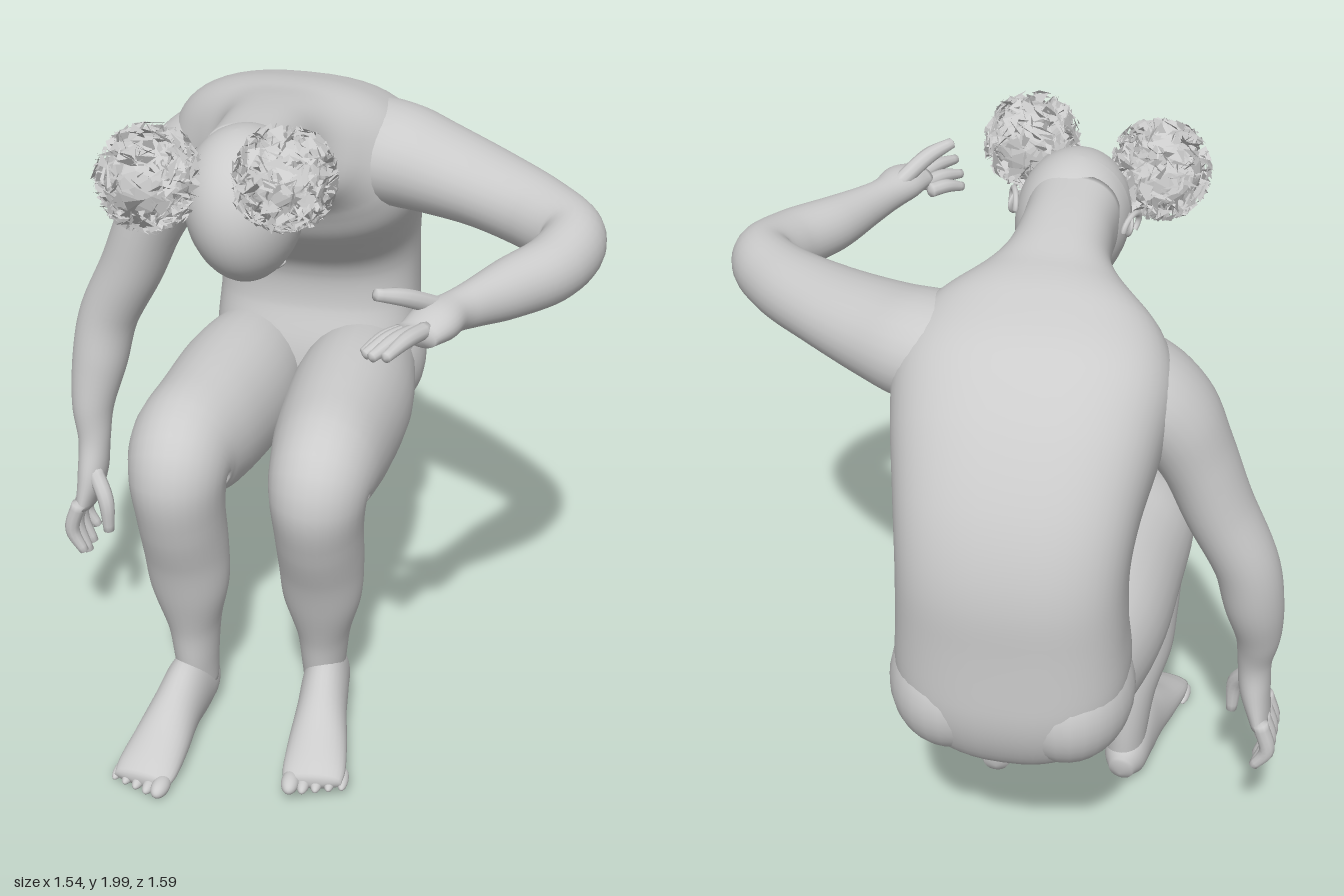
import * as THREE from 'three';

const V = (x, y, z) => new THREE.Vector3(x, y, z);
const skin = new THREE.MeshStandardMaterial({ color: 0xcccccc });
const hairMaterial = new THREE.MeshStandardMaterial({ color: 0xcccccc, flatShading: true, side: THREE.DoubleSide });

function seeded(seed) {
  return () => (seed = (seed * 16807) % 2147483647) / 2147483647;
}

function addMesh(parent, name, geometry, material = skin) {
  const mesh = new THREE.Mesh(geometry, material);
  mesh.name = name;
  parent.add(mesh);
  return mesh;
}

// Smooth closed skin over stations [x, y, z, a, b]: a runs along ref, b across it.
function loft(stations, ref, { sides = 28, steps = 6, power = 2 } = {}) {
  const path = new THREE.CatmullRomCurve3(stations.map(s => V(s[0], s[1], s[2])), false, 'catmullrom');
  const size = new THREE.CatmullRomCurve3(stations.map(s => V(s[3], s[4], 0)), false, 'catmullrom');
  const rows = (stations.length - 1) * steps;
  const pos = [], index = [];
  const bend = v => Math.sign(v) * Math.abs(v) ** (2 / power);
  for (let i = 0; i <= rows; i++) {
    const c = path.getPoint(i / rows), r = size.getPoint(i / rows), t = path.getTangent(i / rows);
    const side = ref.clone().addScaledVector(t, -ref.dot(t)).normalize();
    const up = t.clone().cross(side);
    for (let j = 0; j < sides; j++) {
      const q = (j / sides) * Math.PI * 2;
      const p = c.clone().addScaledVector(side, r.x * bend(Math.cos(q))).addScaledVector(up, r.y * bend(Math.sin(q)));
      pos.push(p.x, p.y, p.z);
      if (i < rows) {
        const k = i * sides + j, n = i * sides + (j + 1) % sides;
        index.push(k, n, n + sides, k, n + sides, k + sides);
      }
    }
  }
  // Domed ends
  const first = pos.length / 3, last = rows * sides;
  [[0, -1], [1, 1]].forEach(([t, dir]) => {
    const r = size.getPoint(t);
    const p = path.getPoint(t).addScaledVector(path.getTangent(t), dir * 0.4 * Math.min(r.x, r.y));
    pos.push(p.x, p.y, p.z);
  });
  for (let j = 0; j < sides; j++) {
    const n = (j + 1) % sides;
    index.push(n, j, first, last + j, last + n, first + 1);
  }
  const g = new THREE.BufferGeometry();
  g.setAttribute('position', new THREE.Float32BufferAttribute(pos, 3));
  g.setIndex(index);
  g.computeVertexNormals();
  return g;
}

function addBlob(parent, name, at, scale, rotation = [0, 0, 0]) {
  const m = addMesh(parent, name, new THREE.SphereGeometry(1, 28, 20));
  m.position.set(...at);
  m.scale.set(...scale);
  m.rotation.set(...rotation);
}

function addFinger(parent, name, points, r) {
  const radii = [1.1, 1.05, 0.7];
  addMesh(parent, name, loft(points.map((p, i) => [...p, r * radii[i], r * radii[i]]), V(0.6, 0.3, 0.7), { sides: 10, steps: 5 }));
}

// Buttock, thigh, knee, shin and foot of one leg
function addLeg(root, name, { hip, knee, ankle, toe, dz, base }) {
  const leg = new THREE.Group();
  leg.name = name;
  root.add(leg);
  addBlob(leg, name + 'Buttock', [hip * 0.97, 0.875, -0.575], [0.165, 0.19, 0.2]);
  const thigh = [[-0.6, 0.87, 0.13, 0.16], [-0.32, 0.875, 0.172, 0.198], [-0.06, 0.885, 0.165, 0.19], [0.09, 0.895, 0.15, 0.168]];
  const shin = [[0.165, 0.86, 0.135, 0.15], [0.15, 0.74, 0.122, 0.135], [0.105, 0.6, 0.118, 0.122], [0.075, 0.47, 0.11, 0.107],
    [0.04, 0.33, 0.076, 0.094], [0.022, 0.21, 0.062, 0.088], [0.005, 0.11, 0.055, 0.075]];
  const stations = [
    ...thigh.map(([z, y, a, b], i) => [hip + (knee - hip) * i / 3, y, z, a, b]),
    ...shin.map(([z, y, a, b], i) => [knee + (ankle - knee) * i / 6, y, z + dz * i / 6, a, b]),
  ];
  addMesh(leg, name + 'Limb', loft(stations, V(1, 0, 0)));

  // Foot with a flattened sole
  const foot = [[-0.07, 0.07, 0.035, 0.045], [-0.025, 0.085, 0.06, 0.085], [0.06, 0.1, 0.066, 0.115],
    [0.16, 0.085, 0.07, 0.095], [0.27, 0.055, 0.082, 0.065], [0.36, 0.035, 0.087, 0.042], [0.41, 0.026, 0.08, 0.024]];
  const atX = z => ankle + (toe - ankle) * (z + 0.07) / 0.5;
  const g = loft(foot.map(([z, y, a, b]) => [atX(z), base + y, z + dz, a, b]), V(1, 0, 0));
  const p = g.attributes.position;
  for (let i = 0; i < p.count; i++) p.setY(i, Math.max(base, p.getY(i)));
  g.computeVertexNormals();
  addMesh(leg, name + 'Foot', g);
  const inward = -Math.sign(toe - ankle);
  for (let i = 0; i < 5; i++) {
    const r = i ? 0.019 - i * 0.001 : 0.025;
    addBlob(leg, name + 'Toe', [toe + inward * (0.062 - i * 0.034), base + r, 0.42 - i * 0.014 + dz], [r, r, 0.045], [0, (toe - ankle) * 1.5, 0]);
  }
}

// Ball of crumpled, shard-like curls
function addPuff(root, name, center, radius, seed) {
  const rand = seeded(seed);
  const puff = new THREE.Group();
  puff.name = name;
  puff.position.set(...center);
  root.add(puff);
  const dir = () => V(rand() - 0.5, rand() - 0.5, rand() - 0.5).normalize();
  addMesh(puff, name + 'Core', new THREE.IcosahedronGeometry(radius * 0.8, 2), hairMaterial);
  const pos = [];
  for (let i = 0; i < 650; i++) {
    const c = dir().multiplyScalar(radius * (0.78 + 0.16 * rand()));
    for (let k = 0; k < 3; k++) {
      const p = c.clone().addScaledVector(dir(), radius * 0.27);
      p.clampLength(0, radius * (0.95 + 0.07 * rand()));
      pos.push(p.x, p.y, p.z);
    }
  }
  const g = new THREE.BufferGeometry();
  g.setAttribute('position', new THREE.Float32BufferAttribute(pos, 3));
  g.computeVertexNormals();
  addMesh(puff, name + 'Curls', g, hairMaterial);
}

export function createModel() {
  const root = new THREE.Group();
  root.name = 'seatedFigure';
  const mid = -0.115;

  // Torso curling forward from pelvis to neck
  const spine = [[0.72, -0.49, 0.1, 0.1], [0.77, -0.52, 0.21, 0.18], [0.85, -0.555, 0.275, 0.215], [0.95, -0.57, 0.295, 0.22],
    [1.1, -0.59, 0.287, 0.2], [1.25, -0.585, 0.285, 0.205], [1.38, -0.535, 0.3, 0.215], [1.5, -0.435, 0.328, 0.232],
    [1.6, -0.32, 0.345, 0.23], [1.67, -0.22, 0.31, 0.19], [1.715, -0.12, 0.215, 0.155], [1.75, -0.03, 0.14, 0.13],
    [1.77, 0.08, 0.12, 0.122], [1.775, 0.2, 0.12, 0.125]];
  addMesh(root, 'torso', loft(spine.map(([y, z, a, b]) => [mid, y, z, a, b]), V(1, 0, 0), { sides: 52, power: 2.5 }));

  // Head bowed so that the face looks down
  const headShape = new THREE.SphereGeometry(1, 40, 28);
  const hp = headShape.attributes.position;
  for (let i = 0; i < hp.count; i++) {
    const x = hp.getX(i), y = hp.getY(i), z = hp.getZ(i);
    const jaw = Math.max(0, -z) * Math.max(0, -y);
    hp.setXYZ(i, x * 0.148 * (1 + 0.1 * y) * (1 - 0.2 * jaw), y * 0.193 * (1 + 0.12 * jaw), z * 0.205 * (1 + 0.1 * jaw));
  }
  headShape.computeVertexNormals();
  const head = new THREE.Group();
  head.name = 'head';
  head.position.set(-0.1, 1.725, 0.26);
  head.rotation.z = 0.12;
  root.add(head);
  addMesh(head, 'skull', headShape);
  addBlob(head, 'nose', [0.008, -0.192, -0.08], [0.028, 0.042, 0.034], [0.6, 0, 0]);
  addBlob(head, 'noseBridge', [0.004, -0.186, -0.035], [0.014, 0.022, 0.045], [0.15, 0, 0]);
  addBlob(head, 'upperLip', [0, -0.168, -0.125], [0.042, 0.016, 0.011]);
  addBlob(head, 'lowerLip', [0, -0.158, -0.147], [0.035, 0.017, 0.011]);
  for (const s of [-1, 1]) {
    addBlob(head, 'eyelid', [s * 0.052, -0.172, -0.005], [0.028, 0.011, 0.016], [0, 0, s * 0.3]);
    addBlob(head, 'ear', [s * 0.148, 0.045, -0.035], [0.01, 0.03, 0.045], [0.3, s * -0.3, 0]);
    const rim = addMesh(head, 'earRim', new THREE.TorusGeometry(0.032, 0.008, 8, 24, Math.PI * 1.3));
    rim.position.set(s * 0.155, 0.045, -0.035);
    rim.rotation.set(0, Math.PI / 2 + s * 0.3, 0);
    rim.scale.set(1.35, 0.95, 1);
  }
  addPuff(root, 'rightHairPuff', [-0.305, 1.828, 0.395], 0.137, 17);
  addPuff(root, 'leftHairPuff', [0.035, 1.868, 0.41], 0.132, 91);

  addLeg(root, 'leftLeg', { hip: 0.035, knee: 0.06, ankle: 0.04, toe: 0.105, dz: 0, base: 0.038 });
  addLeg(root, 'rightLeg', { hip: -0.268, knee: -0.33, ankle: -0.315, toe: -0.37, dz: 0.07, base: 0.01 });

  // Left arm held out to the side, forearm pointing forward
  const leftArm = new THREE.Group();
  leftArm.name = 'leftArm';
  root.add(leftArm);
  addMesh(leftArm, 'leftArmLimb', loft([[-0.1, 1.655, -0.34, 0.09, 0.09], [0.04, 1.655, -0.32, 0.125, 0.15], [0.16, 1.65, -0.285, 0.135, 0.158],
    [0.28, 1.645, -0.23, 0.12, 0.142], [0.44, 1.64, -0.14, 0.101, 0.122], [0.59, 1.63, -0.035, 0.096, 0.1], [0.683, 1.625, 0.075, 0.092, 0.085],
    [0.655, 1.61, 0.205, 0.085, 0.082], [0.57, 1.605, 0.33, 0.075, 0.072], [0.5, 1.61, 0.44, 0.058, 0.052], [0.465, 1.615, 0.5, 0.05, 0.048],
    [0.435, 1.62, 0.57, 0.046, 0.062], [0.405, 1.615, 0.635, 0.03, 0.054]], V(0, 1, 0)));
  const leftTips = [[0.365, 1.633, 0.79], [0.325, 1.61, 0.755], [0.3, 1.59, 0.71], [0.288, 1.572, 0.67]];
  leftTips.forEach((tip, i) => {
    const start = [0.425 - i * 0.022, 1.63 - i * 0.012, 0.63 - i * 0.014];
    const middle = start.map((v, k) => (v + tip[k]) / 2 + (k === 1 ? 0.008 : 0));
    addFinger(leftArm, 'leftFinger', [start, middle, tip], 0.018);
  });
  addFinger(leftArm, 'leftThumb', [[0.44, 1.635, 0.52], [0.37, 1.69, 0.6], [0.31, 1.715, 0.65]], 0.021);

  // Right arm hanging beside the thigh
  const rightArm = new THREE.Group();
  rightArm.name = 'rightArm';
  root.add(rightArm);
  addMesh(rightArm, 'rightArmLimb', loft([[-0.12, 1.665, -0.33, 0.09, 0.08], [-0.25, 1.65, -0.31, 0.145, 0.11], [-0.36, 1.605, -0.29, 0.155, 0.122],
    [-0.448, 1.525, -0.27, 0.145, 0.114], [-0.515, 1.4, -0.26, 0.122, 0.096], [-0.575, 1.25, -0.255, 0.105, 0.09], [-0.65, 1.09, -0.25, 0.09, 0.084],
    [-0.678, 0.95, -0.23, 0.085, 0.079], [-0.695, 0.82, -0.2, 0.068, 0.061], [-0.69, 0.71, -0.18, 0.053, 0.046], [-0.695, 0.61, -0.168, 0.068, 0.042],
    [-0.715, 0.51, -0.165, 0.08, 0.028]], V(0, 0, 1)));
  [0.36, 0.335, 0.34, 0.37].forEach((y, i) => {
    const z = -0.1 - i * 0.043;
    addFinger(rightArm, 'rightFinger', [[-0.72, 0.53, z], [-0.745, 0.44, z], [-0.712, y + 0.008, z]], 0.02);
  });
  addFinger(rightArm, 'rightThumb', [[-0.68, 0.63, -0.135], [-0.637, 0.555, -0.1], [-0.63, 0.455, -0.095]], 0.022);

  return root;
}
